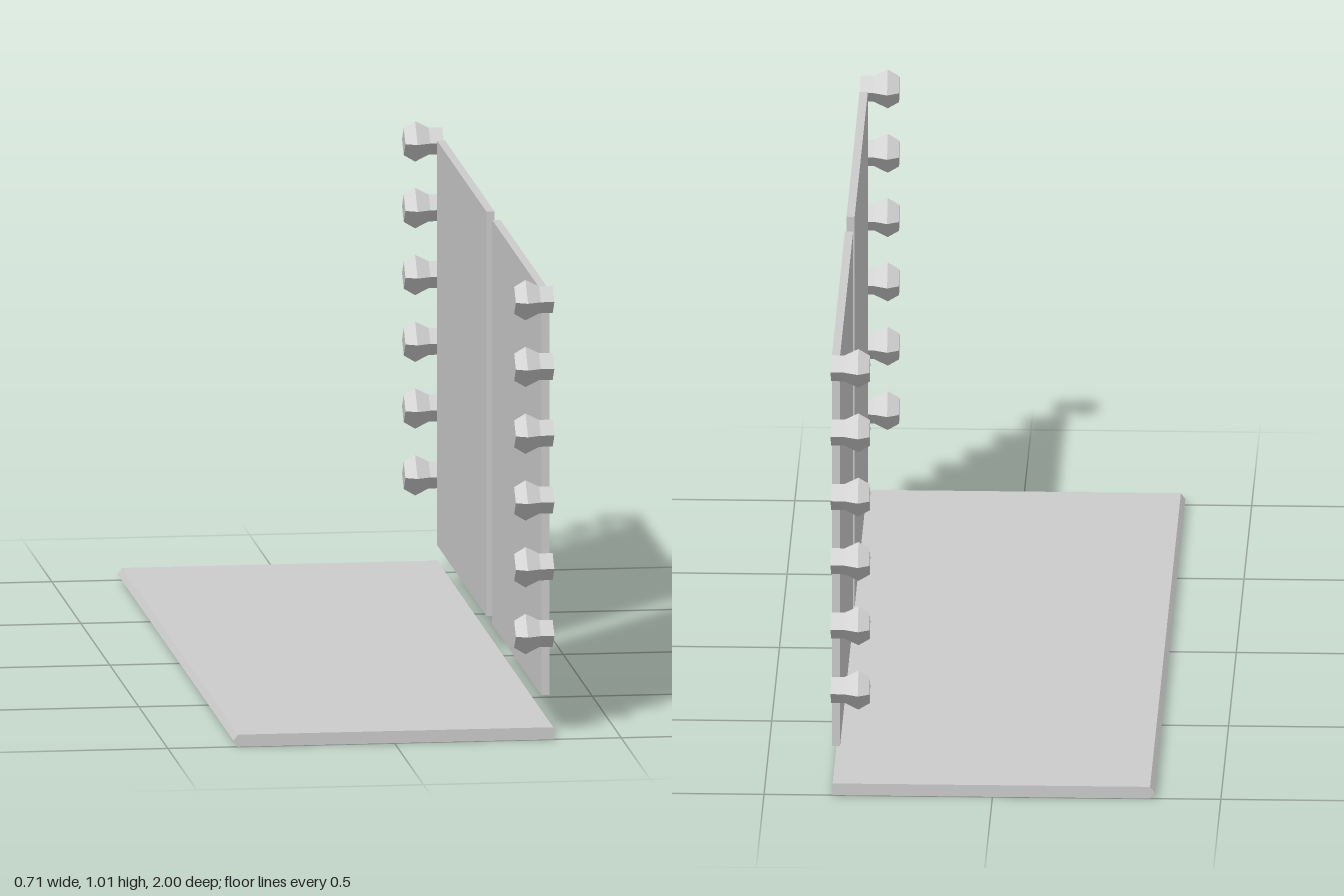
import * as THREE from 'three';

export function createModel() {
  const model = new THREE.Group();
  const material = new THREE.MeshStandardMaterial({ color: 0xcccccc, flatShading: true });
  const add = (name, geometry, x = 0, y = 0, z = 0) => {
    const mesh = new THREE.Mesh(geometry, material);
    mesh.name = name;
    mesh.position.set(x, y, z);
    model.add(mesh);
  };

  // Base board with a pointed long edge on the -x side
  const section = new THREE.Shape([
    [-0.345, 0], [0.35, 0], [0.35, 0.027], [-0.345, 0.027], [-0.355, 0.0135],
  ].map(([x, y]) => new THREE.Vector2(x, y)));
  add('baseBoard', new THREE.ExtrudeGeometry(section, { depth: 2, bevelEnabled: false }), 0, 0, -1);

  // Four-sided knob, turned so that its axis runs along x
  const profile = [[0, 0], [0.03, 0], [0.045, 0.025], [0.03, 0.055], [0.03, 0.085], [0, 0.085]]
    .map(([r, h]) => new THREE.Vector2(r, h));
  const knob = new THREE.LatheGeometry(profile, 4).rotateZ(-Math.PI / 2);

  // Two upright panels, each with a column of knobs at its outer end
  const panel = new THREE.BoxGeometry(0.018, 0.9, 0.85);
  for (const [end, side] of [['front', 1], ['back', -1]]) {
    add(`${end}Panel`, panel, 0.346, 0.53, side * 0.475);
    for (let i = 0; i < 6; i++) {
      add(`${end}Knob${i + 1}`, knob, 0.27, 0.227 + i * 0.1486, side * 0.952);
    }
  }
  return model;
}
